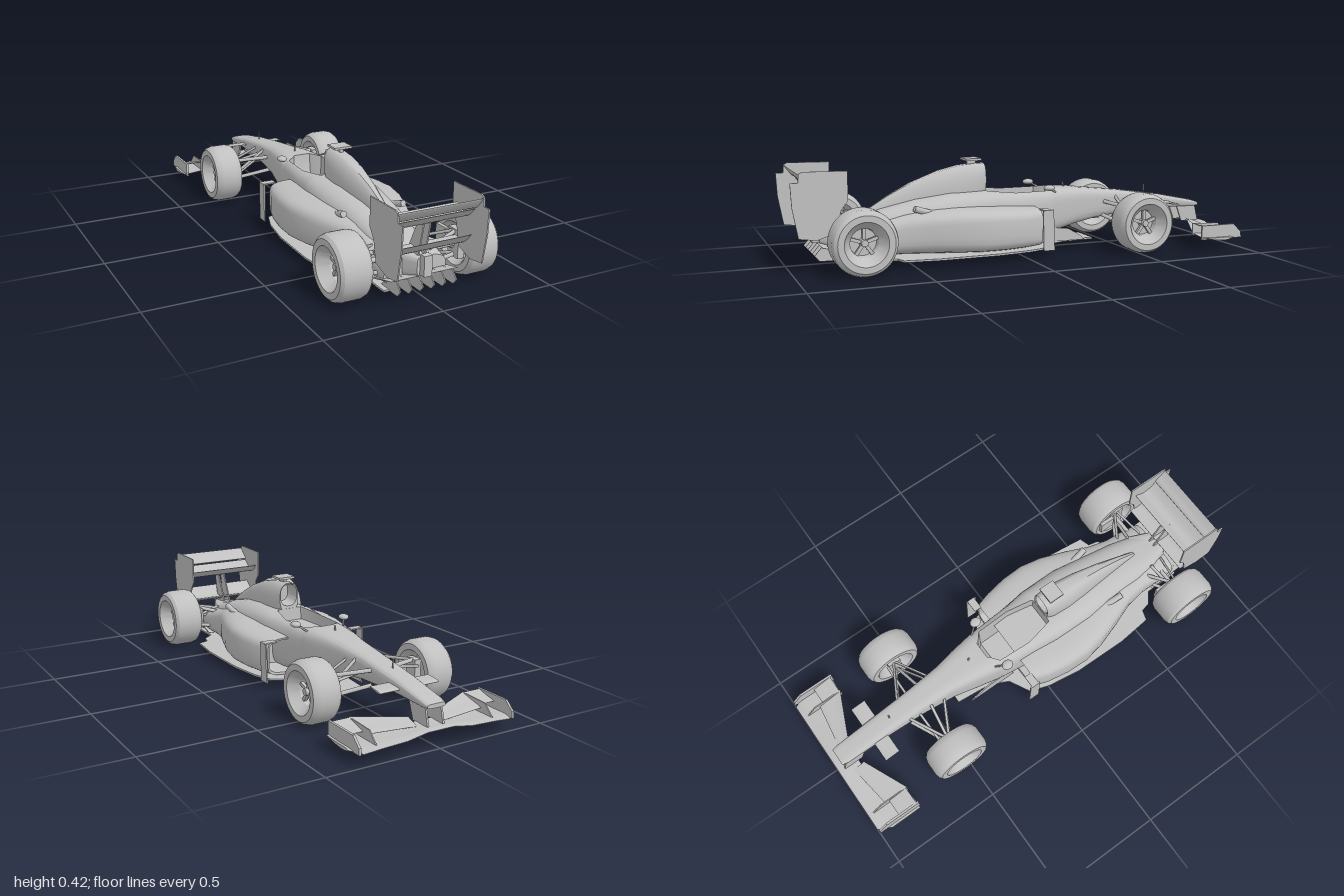
import * as THREE from 'three';
import { toCreasedNormals } from 'three/addons/utils/BufferGeometryUtils.js';

const paint = new THREE.MeshStandardMaterial({ color: 0xc0c0c0 });
paint.name = 'light grey';

export function createModel() {
  const car = new THREE.Group();
  const add = (name, geo, parent = car) => {
    const m = new THREE.Mesh(geo, paint);
    m.name = name;
    parent.add(m);
    return m;
  };
  const box = (name, w, h, d, x, y, z) => add(name, new THREE.BoxGeometry(w, h, d).translate(x, y, z));

  // Joins equal-length rings of points into a closed skin with end caps
  const skin = (rings, crease = 0.6) => {
    const n = rings[0].length, pos = rings.flat(2), idx = [];
    for (let i = 0; i < rings.length - 1; i++)
      for (let j = 0; j < n; j++) {
        const a = i * n + j, b = i * n + (j + 1) % n;
        idx.push(a, b, b + n, a, b + n, a + n);
      }
    [0, rings.length - 1].forEach((r, last) => {
      const c = [0, 1, 2].map(k => rings[r].reduce((s, p) => s + p[k], 0) / n);
      const ci = pos.length / 3;
      pos.push(...c);
      for (let j = 0; j < n; j++) {
        const a = r * n + j, b = r * n + (j + 1) % n;
        last ? idx.push(ci, a, b) : idx.push(ci, b, a);
      }
    });
    const g = new THREE.BufferGeometry();
    g.setAttribute('position', new THREE.Float32BufferAttribute(pos, 3));
    g.setIndex(idx);
    return toCreasedNormals(g, crease);
  };

  // Body section: rounded box whose flat top (half width w) can sink by depth d
  const section = ([z, hw, top, bot, e = 3, w = hw * 0.3, d = 0]) => {
    const ring = [], N = 36, a0 = Math.asin((w / hw) ** (e / 2));
    const p = v => Math.sign(v) * Math.abs(v) ** (2 / e);
    for (let i = 0; i <= N; i++) {
      const t = a0 + (2 * Math.PI - 2 * a0) * i / N;
      ring.push([-hw * p(Math.sin(t)), (top + bot) / 2 + (top - bot) / 2 * p(Math.cos(t)), z]);
    }
    const y = ring[N][1] - d;
    ring.push([w * 0.95, y, z], [-w * 0.95, y, z]);
    return ring;
  };
  const body = (name, rows) => add(name, skin(rows.map(section)));

  // Wing through stations [x, zFront, yFront, zRear, yRear, thickness, sag]
  const wing = (name, stations) => add(name, skin(stations.map(([x, zf, yf, zr, yr, t, sag]) => {
    const at = (s, side) => [x, yf + (yr - yf) * s - sag * Math.sin(Math.PI * s)
      + side * t * (0.15 + Math.sin(Math.PI * Math.sqrt(s))) / 2, zf + (zr - zf) * s];
    const ring = [];
    for (let i = 0; i <= 8; i++) ring.push(at(i / 8, 1));
    for (let i = 8; i >= 0; i--) ring.push(at(i / 8, -1));
    return ring;
  })));

  const extrude = (pts, t) => new THREE.ExtrudeGeometry(
    new THREE.Shape(pts.map(p => new THREE.Vector2(...p))), { depth: t, bevelEnabled: false });
  // Upright plate from [z, y] points, flat plate from [x, z] points
  const plate = (name, pts, x, t = 0.006) =>
    add(name, extrude(pts, t).rotateY(-Math.PI / 2).translate(x + t / 2, 0, 0));
  const flat = (name, pts, y, t = 0.008) =>
    add(name, extrude(pts, t).rotateX(Math.PI / 2).translate(0, y, 0));
  const both = half => [...half, ...half.map(([x, z]) => [-x, z]).reverse()];

  // Flattened rod between two points
  const rod = (name, a, b, r, squash = 1) => {
    const A = new THREE.Vector3(...a), B = new THREE.Vector3(...b);
    const m = add(name, new THREE.CylinderGeometry(r, r, A.distanceTo(B), 10));
    m.position.copy(A).add(B).multiplyScalar(0.5);
    m.quaternion.setFromUnitVectors(new THREE.Vector3(0, 1, 0), B.sub(A).normalize());
    m.scale.z = squash;
  };

  // Nose, tub with open cockpit, and shoulders
  body('chassis', [
    [-0.968, 0.042, 0.168, 0.15, 4], [-0.94, 0.046, 0.178, 0.148, 4], [-0.77, 0.05, 0.213, 0.15, 4],
    [-0.55, 0.058, 0.245, 0.14, 4], [-0.4, 0.07, 0.262, 0.122, 4], [-0.3, 0.09, 0.273, 0.105, 4],
    [-0.195, 0.108, 0.277, 0.08, 4, 0.04], [-0.185, 0.109, 0.277, 0.075, 4, 0.045, 0.12],
    [-0.155, 0.112, 0.278, 0.065, 4, 0.082, 0.15], [0, 0.125, 0.276, 0.04, 4, 0.088, 0.16],
    [0.115, 0.14, 0.28, 0.04, 4, 0.065, 0.16], [0.125, 0.14, 0.281, 0.04, 4, 0.06],
    [0.3, 0.148, 0.28, 0.04, 3], [0.45, 0.13, 0.258, 0.04, 3], [0.6, 0.115, 0.222, 0.04, 3],
    [0.7, 0.1, 0.19, 0.04, 3], [0.8, 0.07, 0.165, 0.05, 3]]);

  // Sidepods: the inset first sections form the intakes
  body('sidepods', [
    [0.05, 0.19, 0.19, 0.06, 6], [-0.07, 0.212, 0.203, 0.052, 6], [-0.072, 0.22, 0.211, 0.042, 6],
    [0, 0.243, 0.216, 0.036, 5], [0.1, 0.26, 0.222, 0.034, 5], [0.2, 0.263, 0.226, 0.034, 5],
    [0.3, 0.245, 0.228, 0.034, 4.5], [0.42, 0.205, 0.222, 0.034, 4], [0.52, 0.165, 0.208, 0.034, 4],
    [0.62, 0.148, 0.185, 0.034, 3.5], [0.72, 0.148, 0.165, 0.034, 3], [0.8, 0.14, 0.14, 0.04, 3]]);

  // Engine cover with airbox opening
  body('engineCover', [
    [0.2, 0.035, 0.385, 0.3, 2.5], [0.128, 0.042, 0.393, 0.292, 2.5], [0.125, 0.048, 0.4, 0.26, 2.5],
    [0.16, 0.056, 0.401, 0.2, 2.4], [0.24, 0.06, 0.395, 0.16, 2.3], [0.33, 0.054, 0.375, 0.15, 2.2],
    [0.46, 0.038, 0.327, 0.14, 2.2], [0.56, 0.025, 0.277, 0.13, 2], [0.66, 0.014, 0.215, 0.12, 2]]);

  // Camera bar and aerials
  box('cameraStalk', 0.016, 0.025, 0.04, 0, 0.405, 0.18);
  box('cameraBar', 0.08, 0.01, 0.07, 0, 0.417, 0.18);
  rod('noseAerial', [0, 0.22, -0.69], [0, 0.262, -0.69], 0.003);
  rod('tubAerial', [0, 0.27, -0.27], [0, 0.295, -0.265], 0.004);

  // Floor, plank and diffuser
  flat('floor', both([[0.07, -0.385], [0.085, -0.22], [0.125, -0.14], [0.22, -0.09], [0.25, 0],
    [0.272, 0.15], [0.275, 0.4], [0.258, 0.56], [0.21, 0.575], [0.2, 0.62], [0.15, 0.66], [0.15, 0.82]]), 0.04);
  box('plank', 0.09, 0.006, 1.08, 0, 0.031, 0.2);
  wing('diffuser', [-0.15, 0.15].map(x => [x, 0.68, 0.045, 0.87, 0.095, 0.006, 0]));
  for (let i = 0; i < 6; i++)
    plate('diffuserFin', [[0.76, 0.036], [0.88, 0.036], [0.9, 0.06], [0.87, 0.095], [0.8, 0.08]], -0.125 + i * 0.05, 0.005);
  body('gearbox', [[0.7, 0.1, 0.18, 0.06, 5], [0.8, 0.06, 0.17, 0.07, 5], [0.86, 0.03, 0.165, 0.09, 5]]);
  box('tailLight', 0.036, 0.085, 0.03, 0, 0.137, 0.875);

  // Rear wing
  const span = rows => [-0.185, 0.185].map(x => [x, ...rows]);
  wing('rearMainPlane', span([0.8, 0.335, 0.915, 0.345, 0.014, 0.035]));
  wing('rearFlap', span([0.912, 0.352, 0.962, 0.4, 0.01, 0.006]));
  wing('rearBeamWing', span([0.79, 0.195, 0.9, 0.235, 0.012, 0.025]));
  for (const x of [-0.015, 0.015])
    plate('rearWingPillar', [[0.76, 0.15], [0.84, 0.15], [0.875, 0.31], [0.84, 0.315]], x);

  // Front wing and nose fin
  const tip = (s, x, zr, y) => [s * x, -1 + (x > 0.34 ? 0.06 : 0), y, zr, y + 0.008, 0.012, 0.004];
  wing('frontMainPlane', [tip(-1, 0.37, -0.795, 0.05), tip(-1, 0.34, -0.795, 0.05), tip(-1, 0.27, -0.8, 0.055),
    tip(-1, 0.15, -0.86, 0.06), tip(-1, 0.06, -0.9, 0.075), tip(1, 0.06, -0.9, 0.075),
    tip(1, 0.15, -0.86, 0.06), tip(1, 0.27, -0.8, 0.055), tip(1, 0.34, -0.795, 0.05), tip(1, 0.37, -0.795, 0.05)]);
  wing('noseFin', [-0.14, 0.14].map(x => [x, -0.805, 0.178, -0.735, 0.188, 0.007, 0]));

  // Lathed wheel with dished rim and five spokes
  const wheel = (name, R, h, x, z) => {
    const g = new THREE.Group();
    g.name = name;
    const prof = [[0, -0.015], [0.056, -0.015], [0.083, 0.01 - h], [0.09, -h], [0.116, -h], [R - 0.006, 0.012 - h],
      [R, 0.032 - h], [R, h - 0.032], [R - 0.006, h - 0.012], [0.116, h], [0.09, h], [0.086, h - 0.008],
      [0.058, 0.022], [0.055, -0.005], [0, -0.005]].map(p => new THREE.Vector2(...p));
    add('tyreAndRim', toCreasedNormals(new THREE.LatheGeometry(prof, 48), 0.5).rotateZ(-Math.PI / 2), g);
    add('hub', new THREE.CylinderGeometry(0.014, 0.018, 0.04, 16).rotateZ(-Math.PI / 2).translate(0.014, 0, 0), g);
    for (let i = 0; i < 5; i++)
      add('spoke', new THREE.BoxGeometry(0.014, 0.055, 0.014).translate(0.014, 0.03, 0).rotateX(i * Math.PI * 0.4), g);
    g.position.set(x, R, z);
    if (x < 0) g.rotation.y = Math.PI;
    car.add(g);
  };

  // Paired parts
  for (const s of [1, -1]) {
    wheel('rearWheel', 0.135, 0.0685, s * 0.284, 0.735);
    wheel('frontWheel', 0.132, 0.063, s * 0.273, -0.531);
    plate('rearWingEndplate', [[0.77, 0.41], [0.95, 0.413], [0.965, 0.405], [0.968, 0.37], [1, 0.37], [0.995, 0.27],
      [0.972, 0.145], [0.9, 0.135], [0.82, 0.16], [0.8, 0.25], [0.77, 0.29]], s * 0.185);
    plate('frontWingEndplate', [[-0.79, 0.048], [-0.998, 0.048], [-0.995, 0.075], [-0.955, 0.112], [-0.79, 0.112]], s * 0.355, 0.01);
    plate('frontWingFence', [[-0.795, 0.055], [-0.98, 0.055], [-0.93, 0.105], [-0.795, 0.11]], s * 0.27, 0.005);
    const edge = (x0, x1) => s > 0 ? [x0, x1] : [-x1, -x0];
    wing('frontFlap', edge(0.065, 0.27).map(x => {
      const k = (Math.abs(x) - 0.065) / 0.205;
      return [x, -0.94 + 0.03 * k, 0.08, -0.885 + 0.09 * k, 0.1 + 0.01 * k, 0.006, 0.003];
    }));
    wing('frontTipFlap', edge(0.27, 0.355).map(x => [x, -0.89, 0.085, -0.8, 0.11, 0.006, 0.003]));
    plate('nosePylon', [[-0.97, 0.08], [-0.88, 0.08], [-0.85, 0.16], [-0.95, 0.16]], s * 0.036, 0.008);

    // Bargeboard, turning vane and its bridge
    plate('bargeboard', [[-0.33, 0.04], [-0.31, 0.06], [-0.25, 0.095], [-0.12, 0.11], [-0.1, 0.04]], s * 0.1);
    plate('turningVane', [[-0.115, 0.032], [-0.065, 0.032], [-0.06, 0.205], [-0.11, 0.21]], s * 0.248);
    box('vaneBridge', 0.06, 0.006, 0.035, s * 0.222, 0.206, -0.085);

    // Mirrors and exhausts
    const mirror = add('mirror', new THREE.SphereGeometry(1, 16, 10).scale(0.022, 0.013, 0.026));
    mirror.position.set(s * 0.122, 0.287, -0.145);
    rod('mirrorStalk', [s * 0.09, 0.262, -0.19], [s * 0.118, 0.283, -0.15], 0.004);
    rod('exhaust', [s * 0.13, 0.205, 0.4], [s * 0.14, 0.232, 0.48], 0.014);

    // Front suspension
    for (const [y0, y1] of [[0.205, 0.18], [0.142, 0.09]])
      for (const z of [-0.62, -0.44])
        rod('frontWishbone', [s * 0.05, y0, z], [s * 0.22, y1, -0.53], 0.009, 0.6);
    rod('frontPushrod', [s * 0.05, 0.225, -0.51], [s * 0.22, 0.1, -0.53], 0.007);
    rod('steeringRod', [s * 0.05, 0.19, -0.57], [s * 0.22, 0.16, -0.565], 0.006);
    box('frontUpright', 0.03, 0.11, 0.06, s * 0.222, 0.132, -0.531);
    // Rear suspension
    for (const [y0, y1] of [[0.15, 0.19], [0.085, 0.09]])
      for (const z of [0.64, 0.77])
        rod('rearWishbone', [s * 0.08, y0, z], [s * 0.235, y1, 0.735], 0.009, 0.6);
    rod('rearPushrod', [s * 0.09, 0.175, 0.7], [s * 0.235, 0.11, 0.735], 0.007);
    rod('driveShaft', [s * 0.06, 0.13, 0.735], [s * 0.25, 0.135, 0.735], 0.011);
    box('rearUpright', 0.03, 0.12, 0.07, s * 0.232, 0.137, 0.735);
    box('brakeDuct', 0.016, 0.07, 0.07, s * 0.208, 0.155, 0.67);
  }
  return car;
}
